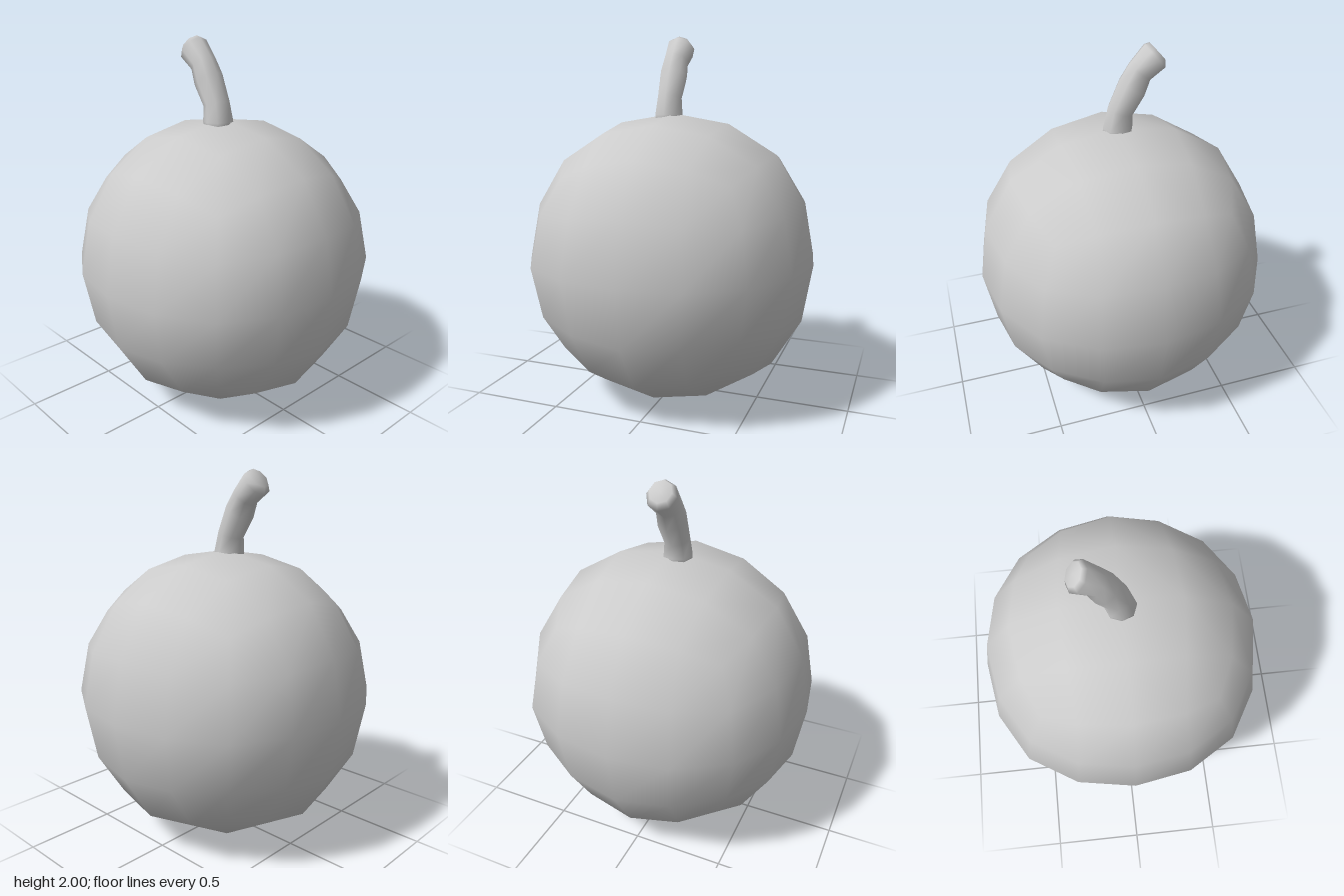
import * as THREE from 'three';
import { mergeVertices } from 'three/addons/utils/BufferGeometryUtils.js';

const material = new THREE.MeshStandardMaterial({ color: 0xcccccc });

// Weld the moved vertices and shade smoothly across every edge
function smoothMesh(geometry, name) {
  geometry.deleteAttribute('normal');
  geometry.deleteAttribute('uv');
  const welded = mergeVertices(geometry, 1e-4);
  welded.computeVertexNormals();
  const mesh = new THREE.Mesh(welded, material);
  mesh.name = name;
  return mesh;
}

function moveVertices(geometry, rule) {
  const p = geometry.attributes.position;
  const v = new THREE.Vector3();
  for (let i = 0; i < p.count; i++) {
    rule(v.fromBufferAttribute(p, i));
    p.setXYZ(i, v.x, v.y, v.z);
  }
  return geometry;
}

// Round body: a 4x4x4 cube grid relaxed into a subdivided ball.
// Each key is the sorted grid distance; each value gives the coordinate per distance.
function createBody() {
  const rounded = {
    '2,0,0': [0, 0, 0.788],
    '2,1,0': [0, 0.314, 0.735],
    '2,1,1': [0, 0.292, 0.685],
    '2,2,0': [0, 0, 0.577],
    '2,2,1': [0, 0.271, 0.537],
    '2,2,2': [0, 0, 0.457],
  };
  const geometry = moveVertices(new THREE.BoxGeometry(4, 4, 4, 4, 4, 4), (v) => {
    const grid = v.toArray().map(Math.round);
    const table = rounded[grid.map(Math.abs).sort((a, b) => b - a).join()];
    v.fromArray(grid.map((g) => Math.sign(g) * table[Math.abs(g)]));
  });
  const body = smoothMesh(geometry, 'body');
  body.position.y = 0.79;
  return body;
}

// Bent stem: octagonal rings given as [y, z, radius, backward tilt]
function createStem() {
  const rings = [
    [1.5, 0, 0.08, 0],
    [1.57, -0.005, 0.08, 0.03],
    [1.66, -0.018, 0.07, 0.3],
    [1.78, -0.08, 0.079, 0.56],
    [1.86, -0.12, 0.07, 0.66],
    [1.932, -0.197, 0.081, 0.86],
    [1.955, -0.21, 0.06, 0.86],
  ];
  const rows = rings.length - 1;
  const geometry = moveVertices(new THREE.CylinderGeometry(1, 1, rows, 8, rows), (v) => {
    const [y, z, r, tilt] = rings[Math.round(v.y + rows / 2)];
    v.set(v.x * r, y + v.z * r * Math.sin(tilt), z + v.z * r * Math.cos(tilt));
  });
  const stem = smoothMesh(geometry, 'stem');
  stem.position.x = -0.03;
  return stem;
}

export function createModel() {
  const model = new THREE.Group();
  model.name = 'roundFruit';
  model.add(createBody(), createStem());
  return model;
}
